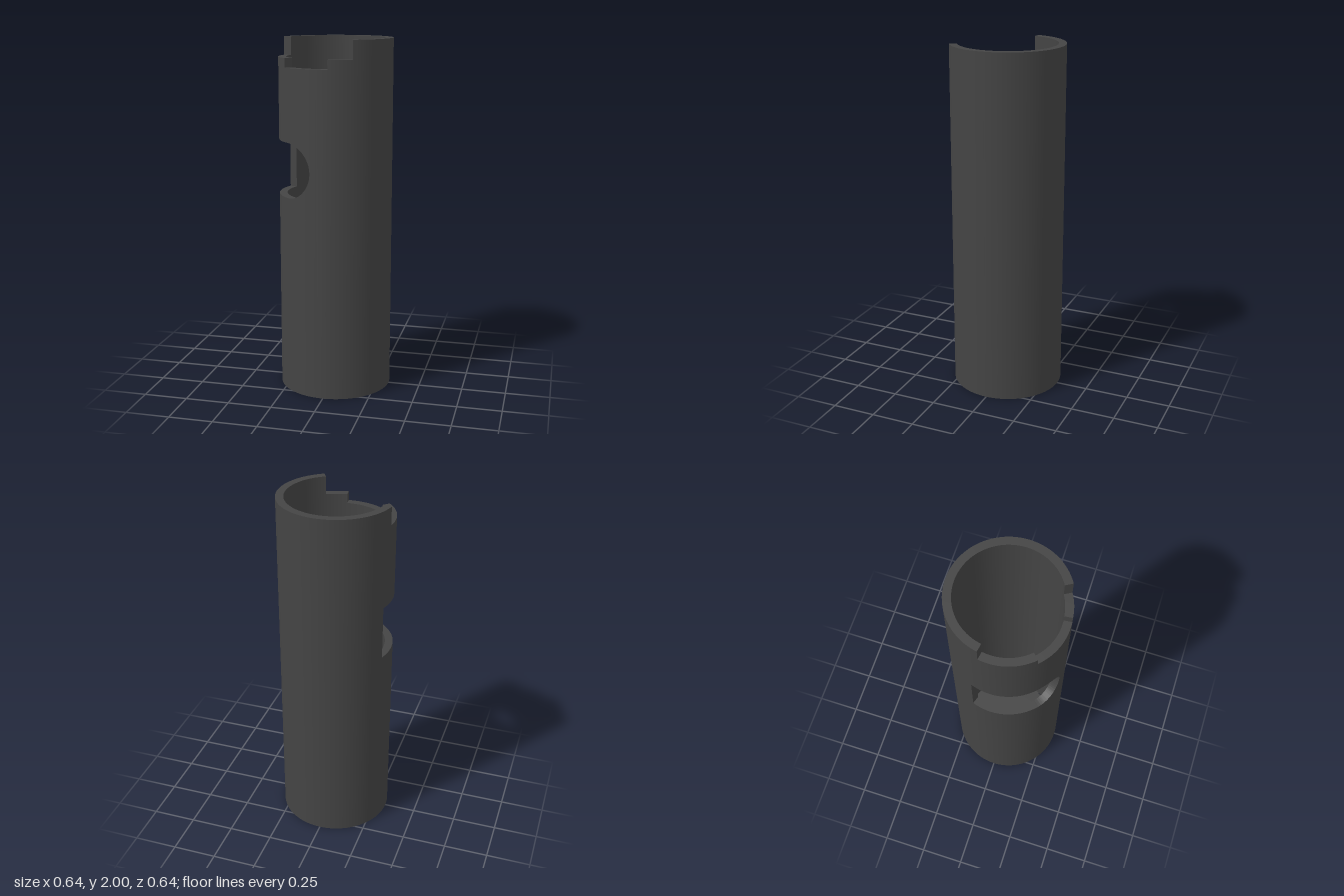
import * as THREE from 'three';

const R_OUT = 0.319, R_IN = 0.275;
const WIN = { start: -20, straight: 49, end: 77, y: 1.286, r: 0.154 };
const rad = THREE.MathUtils.degToRad;

// angle a (degrees) runs from -x towards the front (+z)
const radial = (a) => new THREE.Vector3(-Math.cos(rad(a)), 0, Math.sin(rad(a)));
const point = (r, a, y) => radial(a).multiplyScalar(r).setY(y);

// collects quads, turning each one to agree with its normals
function surface() {
  const pos = [], nor = [];
  return {
    quad(p, n) {
      for (const tri of [[0, 1, 2], [0, 2, 3]]) {
        const [a, b, c] = tri.map((i) => p[i]);
        const face = b.clone().sub(a).cross(c.clone().sub(a));
        if (face.length() < 1e-9) continue;
        const order = face.dot(n[tri[0]]) < 0 ? [tri[0], tri[2], tri[1]] : tri;
        for (const i of order) {
          pos.push(...p[i].toArray());
          nor.push(...n[i].toArray());
        }
      }
    },
    build() {
      const g = new THREE.BufferGeometry();
      g.setAttribute('position', new THREE.Float32BufferAttribute(pos, 3));
      g.setAttribute('normal', new THREE.Float32BufferAttribute(nor, 3));
      return g;
    },
  };
}

// height of the stepped rim at an angle
function rimHeight(a) {
  if (a > 44 && a < 95.5) return 1.846;
  if (a > -10 && a < 120) return 1.897;
  return 2;
}

// half the height of the side window at an angle
function windowHalf(a) {
  if (a <= WIN.straight) return WIN.r;
  const t = Math.min(1, (a - WIN.straight) / (WIN.end - WIN.straight));
  return WIN.r * Math.sqrt(1 - t * t);
}

// column boundaries: an even ring plus the cut ends and the window curve
function columnAngles() {
  const set = new Set([-10, 44, 95.5, 120, WIN.start, WIN.straight, WIN.end]);
  for (let a = -120; a <= 240; a += 4) set.add(a);
  for (let i = 1; i < 16; i++) {
    set.add(WIN.straight + (WIN.end - WIN.straight) * Math.sin((i / 16) * Math.PI / 2));
  }
  return [...set].sort((a, b) => a - b);
}

function tubeGeometry() {
  const s = surface();
  const up = new THREE.Vector3(0, 1, 0), down = new THREE.Vector3(0, -1, 0);

  // one curved block of wall between two angles
  const block = (a, b, lowA, lowB, highA, highB) => {
    const na = radial(a), nb = radial(b);
    for (const [r, sign] of [[R_OUT, 1], [R_IN, -1]]) {
      const n = [na, nb, nb, na].map((v) => v.clone().multiplyScalar(sign));
      s.quad([point(r, a, lowA), point(r, b, lowB), point(r, b, highB), point(r, a, highA)], n);
    }
    for (const [ya, yb, dir] of [[lowA, lowB, down], [highA, highB, up]]) {
      const p = [point(R_OUT, a, ya), point(R_OUT, b, yb), point(R_IN, b, yb), point(R_IN, a, ya)];
      let n = p[1].clone().sub(p[0]).cross(p[3].clone().sub(p[0])).normalize();
      if (n.dot(dir) < 0) n.negate();
      s.quad(p, [n, n, n, n]);
    }
  };

  const angles = columnAngles();
  for (let i = 0; i < angles.length - 1; i++) {
    const a = angles[i], b = angles[i + 1], mid = (a + b) / 2;
    const top = rimHeight(mid);
    if (mid > WIN.start && mid < WIN.end) {
      const ha = windowHalf(a), hb = windowHalf(b);
      block(a, b, 0, 0, WIN.y - ha, WIN.y - hb);
      block(a, b, WIN.y + ha, WIN.y + hb, top, top);
    } else {
      block(a, b, 0, 0, top, top);
    }
  }

  // upright end faces of the window and the rim steps
  const ends = [
    [WIN.start, WIN.y - WIN.r, WIN.y + WIN.r, 1],
    [-10, 1.897, 2, 1], [44, 1.846, 1.897, 1],
    [95.5, 1.846, 1.897, -1], [120, 1.897, 2, -1],
  ];
  for (const [a, low, high, sign] of ends) {
    const n = new THREE.Vector3(Math.sin(rad(a)), 0, Math.cos(rad(a))).multiplyScalar(sign);
    s.quad([point(R_OUT, a, low), point(R_IN, a, low), point(R_IN, a, high), point(R_OUT, a, high)], [n, n, n, n]);
  }
  return s.build();
}

// thin floor whose straight edges leave small gaps beside the wall
function floorGeometry() {
  const angles = [-28, -15, 15, 30, 44.5];
  for (let a = 107; a < 330; a += 12) angles.push(a);
  const shape = new THREE.Shape(angles.map((a) => {
    const p = point(R_IN, a, 0);
    return new THREE.Vector2(p.x, -p.z);
  }));
  return new THREE.ShapeGeometry(shape).rotateX(-Math.PI / 2);
}

export function createModel() {
  const group = new THREE.Group();
  group.name = 'notchedTube';
  const darkGrey = new THREE.MeshStandardMaterial({ color: 0x444444, side: THREE.DoubleSide });
  darkGrey.name = 'dark grey';

  const tube = new THREE.Mesh(tubeGeometry(), darkGrey);
  tube.name = 'tubeWall';
  const floor = new THREE.Mesh(floorGeometry(), darkGrey);
  floor.name = 'floor';
  floor.position.y = 0.002;
  group.add(tube, floor);
  return group;
}
